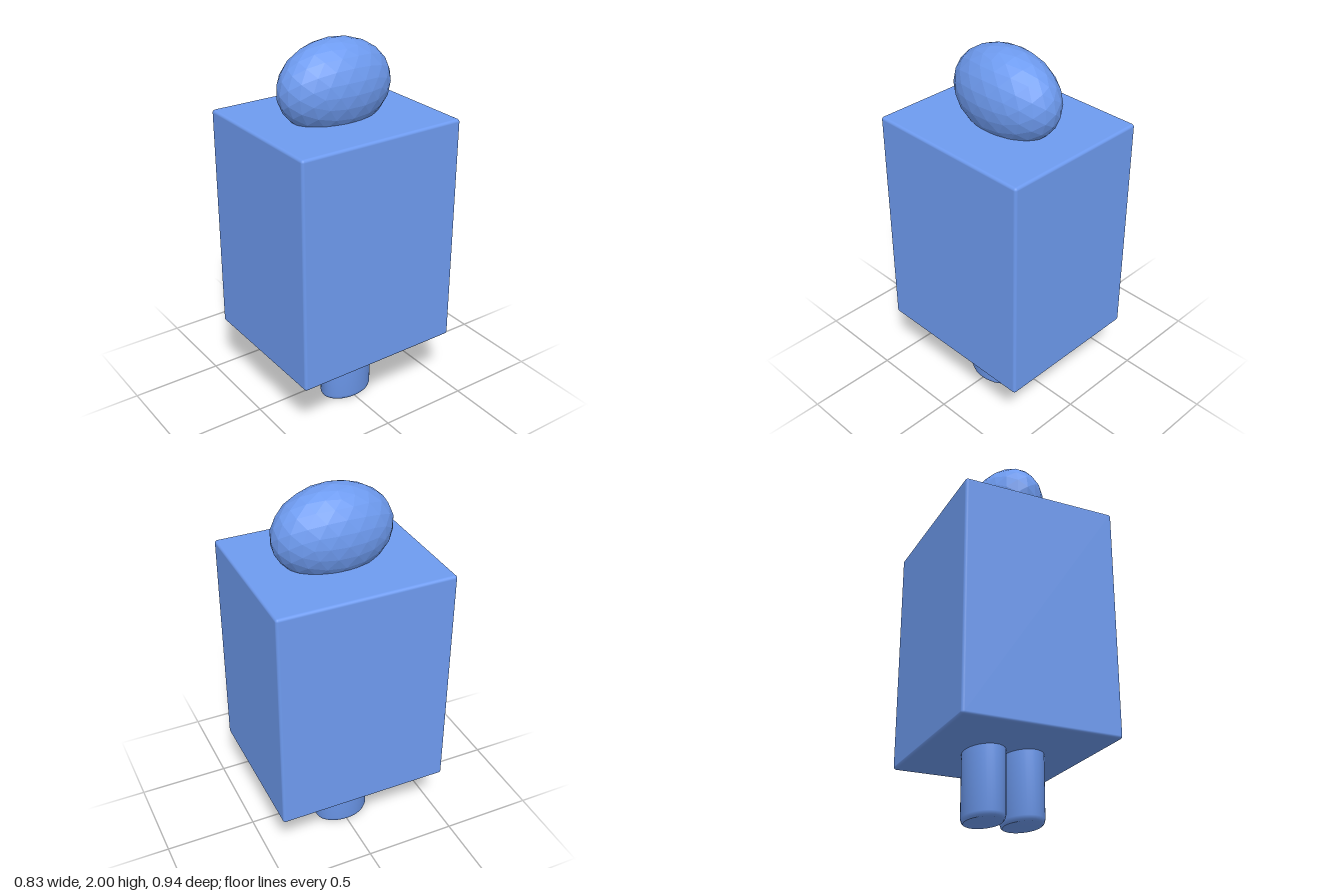
import * as THREE from 'three';
import { RoundedBoxGeometry } from 'three/addons/geometries/RoundedBoxGeometry.js';
import { toCreasedNormals } from 'three/addons/utils/BufferGeometryUtils.js';

export function createModel() {
  const model = new THREE.Group();
  const blue = new THREE.MeshStandardMaterial({ color: 0x6e9bf0 });
  const facetedBlue = blue.clone();
  facetedBlue.flatShading = true;

  function add(name, geometry, material, x, y) {
    const mesh = new THREE.Mesh(geometry, material);
    mesh.name = name;
    mesh.position.set(x, y, 0);
    model.add(mesh);
    return mesh;
  }

  // Tall box body with finely rounded edges
  add('body', new RoundedBoxGeometry(0.835, 1.255, 0.94, 3, 0.015), blue, 0, 0.98);

  // Faceted egg-shaped head, sunk into the top of the body
  const head = new THREE.IcosahedronGeometry(1, 3);
  head.scale(0.197, 0.24, 0.32);
  add('head', head, facetedBlue, 0, 1.76);

  // Two oval legs with a softened lower rim
  const profile = [[0, 0.005], [0.88, 0.005], [0.95, 0.012], [1, 0.03], [1, 0.4], [0, 0.4]]
    .map(([r, y]) => new THREE.Vector2(r, y));
  const lathe = new THREE.LatheGeometry(profile, 32);
  lathe.scale(0.102, 1, 0.153);
  lathe.translate(0, -0.005, 0);
  const leg = toCreasedNormals(lathe, 0.7);
  for (const side of [1, -1]) {
    add(side > 0 ? 'leftLeg' : 'rightLeg', leg, blue, side * 0.105, 0);
  }

  return model;
}
